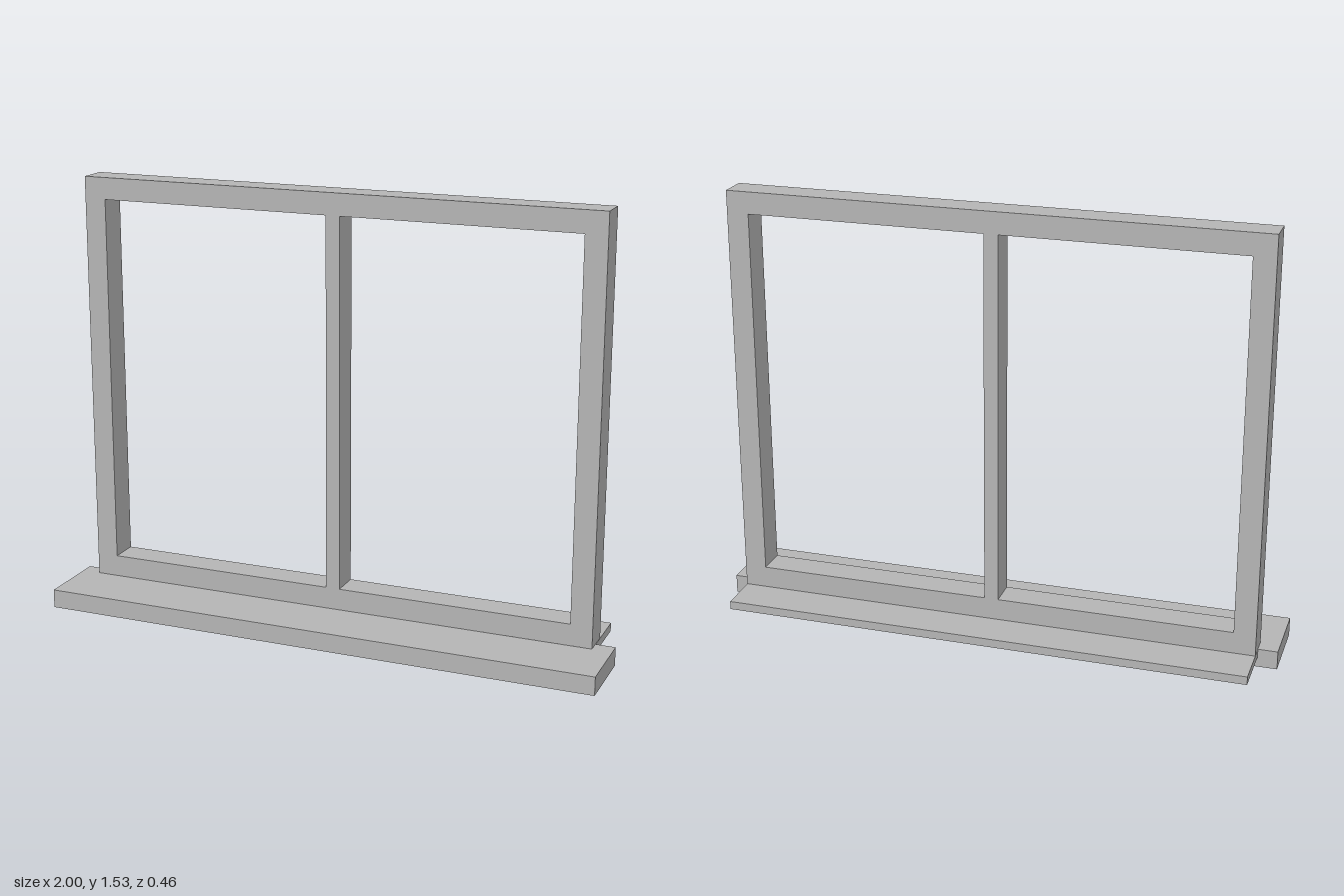
import * as THREE from 'three';

export function createModel() {
  const model = new THREE.Group();
  model.name = 'window';
  const paint = new THREE.MeshStandardMaterial({ color: 0xb4b4b4 });
  paint.name = 'grey paint';

  // Box given by its extents along each axis
  function bar(name, [x0, x1], [y0, y1], [z0, z1]) {
    const mesh = new THREE.Mesh(new THREE.BoxGeometry(x1 - x0, y1 - y0, z1 - z0), paint);
    mesh.position.set((x0 + x1) / 2, (y0 + y1) / 2, (z0 + z1) / 2);
    mesh.name = name;
    model.add(mesh);
  }

  const halfWidth = 0.932, rail = 0.077;
  const bottom = 0.068, top = 1.535;
  const depth = [-0.085, 0.02];
  const opening = [bottom + rail, top - rail];

  // Frame: full-width rails with posts between them
  bar('topRail', [-halfWidth, halfWidth], [top - rail, top], depth);
  bar('bottomRail', [-halfWidth, halfWidth], [bottom, bottom + rail], depth);
  bar('leftPost', [halfWidth - rail, halfWidth], opening, depth);
  bar('rightPost', [-halfWidth, rail - halfWidth], opening, depth);
  bar('mullion', [-0.025, 0.025], opening, depth);

  // Deep sill in front, thin ledge behind
  bar('frontSill', [-1, 1], [0, 0.066], [-0.03, 0.232]);
  bar('backLedge', [-halfWidth, halfWidth], [0.036, 0.066], [-0.232, -0.032]);

  return model;
}
